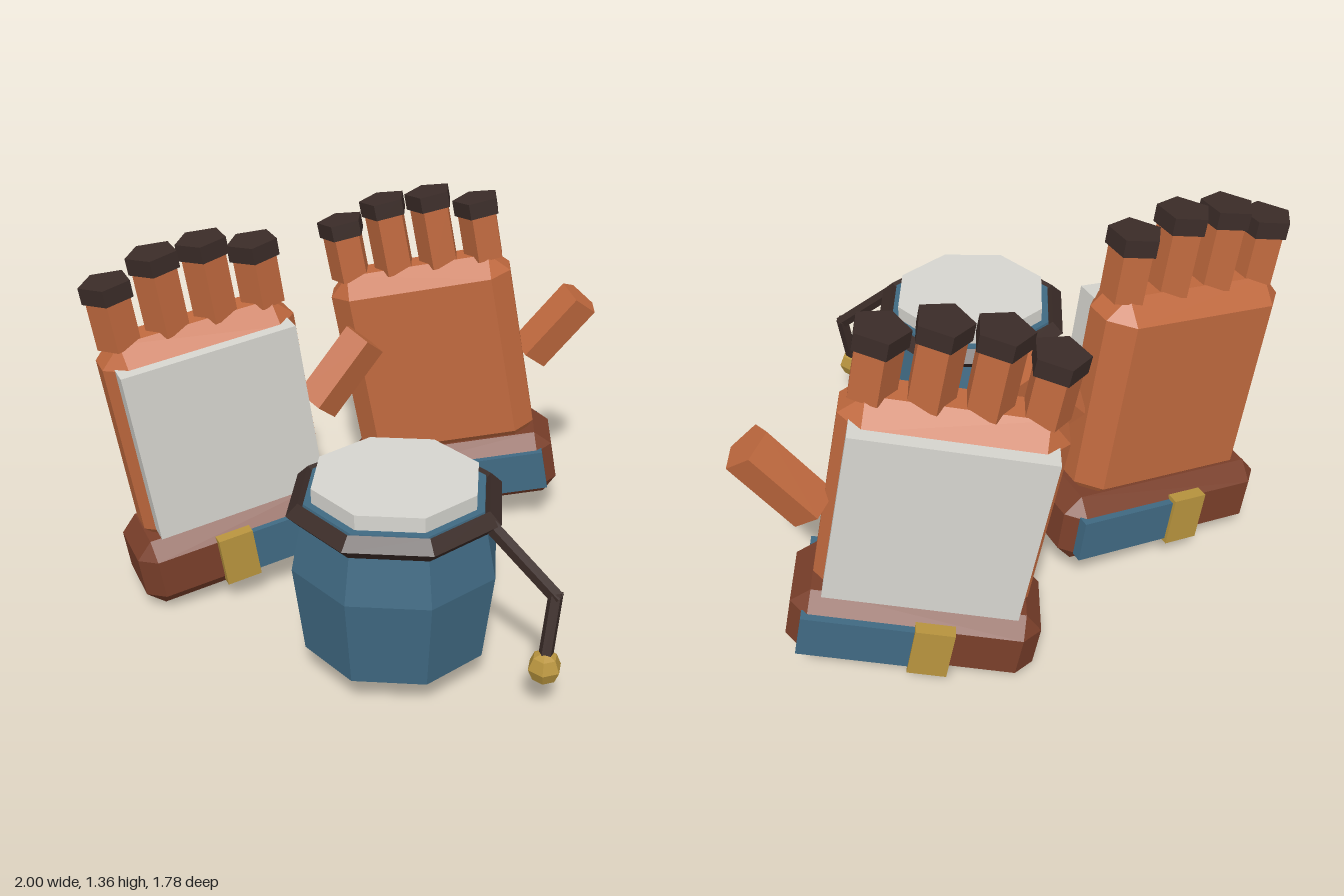
import * as THREE from 'three';
import { ConvexGeometry } from 'three/addons/geometries/ConvexGeometry.js';

const mat = (color) => new THREE.MeshStandardMaterial({ color, flatShading: true });
const leather = mat(0xc0693e), cuffBrown = mat(0x7a3f2a), dark = mat(0x3b2c28);
const blue = mat(0x41698a), brass = mat(0xb8943e), chalk = mat(0xd6d5cf);
blue.color.set(0x406a83);

function add(parent, name, geometry, material, x = 0, y = 0, z = 0) {
  const mesh = new THREE.Mesh(geometry, material);
  mesh.name = name;
  mesh.position.set(x, y, z);
  parent.add(mesh);
  return mesh;
}

// Box with every edge and corner cut by c
function chamferBox(w, h, d, c) {
  const pts = [];
  for (const x of [-1, 1]) for (const y of [-1, 1]) for (const z of [-1, 1]) {
    const [a, b, e] = [w / 2, h / 2, d / 2];
    pts.push(
      new THREE.Vector3(x * a, y * (b - c), z * (e - c)),
      new THREE.Vector3(x * (a - c), y * b, z * (e - c)),
      new THREE.Vector3(x * (a - c), y * (b - c), z * e));
  }
  return new ConvexGeometry(pts);
}

// Five-sided prism with a corner towards -x
const prism = (r, h) => new THREE.CylinderGeometry(r, r, h, 5).rotateY(-Math.PI / 2);

// Glove with its origin at the cuff centre; padSide is the z side of the pad
function makeGlove(name, padSide) {
  const glove = new THREE.Group();
  glove.name = name;
  add(glove, 'cuff', chamferBox(0.82, 0.27, 0.34, 0.06), cuffBrown);
  add(glove, 'palm', chamferBox(0.7, 0.8, 0.25, 0.075), leather, 0, 0.485, 0);
  add(glove, 'pad', new THREE.BoxGeometry(0.63, 0.65, 0.09), chalk, 0, 0.49, 0.122 * padSide);

  // Strap and buckle on both faces of the cuff
  for (const s of [-1, 1]) {
    add(glove, 'strap', new THREE.BoxGeometry(0.42, 0.16, 0.04), blue, 0.16, 0, 0.17 * s);
    add(glove, 'buckle', new THREE.BoxGeometry(0.13, 0.19, 0.045), brass, -0.06, 0, 0.18 * s);
  }

  // Fingers with dark tips
  [1.1, 1.155, 1.155, 1.1].forEach((top, i) => {
    const x = -0.262 + i * 0.175, base = 0.865, tip = 0.06;
    const len = top - tip - base;
    add(glove, 'finger', prism(0.08, len), leather, x, base + len / 2, 0);
    add(glove, 'fingertip', prism(0.092, tip), dark, x, top - tip / 2, 0);
  });

  const thumb = add(glove, 'thumb', prism(0.088, 0.3), leather, 0.49, 0.525, 0.035 * padSide);
  thumb.rotation.z = -0.85;
  return glove;
}

// Cylinder running from one point to another
function rod(parent, name, a, b, r) {
  const dir = b.clone().sub(a);
  const mesh = add(parent, name, new THREE.CylinderGeometry(r, r, dir.length() + r, 5), dark);
  mesh.position.copy(a).add(b).multiplyScalar(0.5);
  mesh.quaternion.setFromUnitVectors(new THREE.Vector3(0, 1, 0), dir.normalize());
}

function makeBag() {
  const bag = new THREE.Group();
  bag.name = 'bag';
  const profile = [[0, 0.12], [0.322, 0.12], [0.36, 0.435], [0.325, 0.61], [0.315, 0.675], [0, 0.675]]
    .map(([r, y]) => new THREE.Vector2(r, y));
  add(bag, 'bagBody', new THREE.LatheGeometry(profile, 8), blue);
  add(bag, 'rim', new THREE.TorusGeometry(0.333, 0.041, 4, 8).rotateX(Math.PI / 2), dark, 0, 0.64, 0);
  add(bag, 'chalkFill', new THREE.CylinderGeometry(0.288, 0.288, 0.08, 8), chalk, 0, 0.687, 0);

  // Drawstring and its bead
  const path = [[0.235, 0.635, 0.25], [0.4, 0.435, 0.405], [0.36, 0.22, 0.44]]
    .map((p) => new THREE.Vector3(...p));
  for (let i = 0; i < 2; i++) rod(bag, 'drawstring', path[i], path[i + 1], 0.025);
  add(bag, 'bead', new THREE.SphereGeometry(0.058, 6, 4), brass, 0.358, 0.195, 0.442);
  return bag;
}

export function createModel() {
  const model = new THREE.Group();
  model.name = 'glovesAndBag';

  const rightGlove = makeGlove('rightGlove', 1);
  rightGlove.position.set(-0.5, 0.2, -0.324);
  rightGlove.rotation.set(0, 0.11, 0.14);

  const leftGlove = makeGlove('leftGlove', -1);
  leftGlove.position.set(0.465, 0.197, -0.577);
  leftGlove.rotation.set(0, -0.36, 0.18);

  const bag = makeBag();
  bag.position.set(-0.105, 0, 0.39);

  model.add(rightGlove, leftGlove, bag);
  return model;
}
